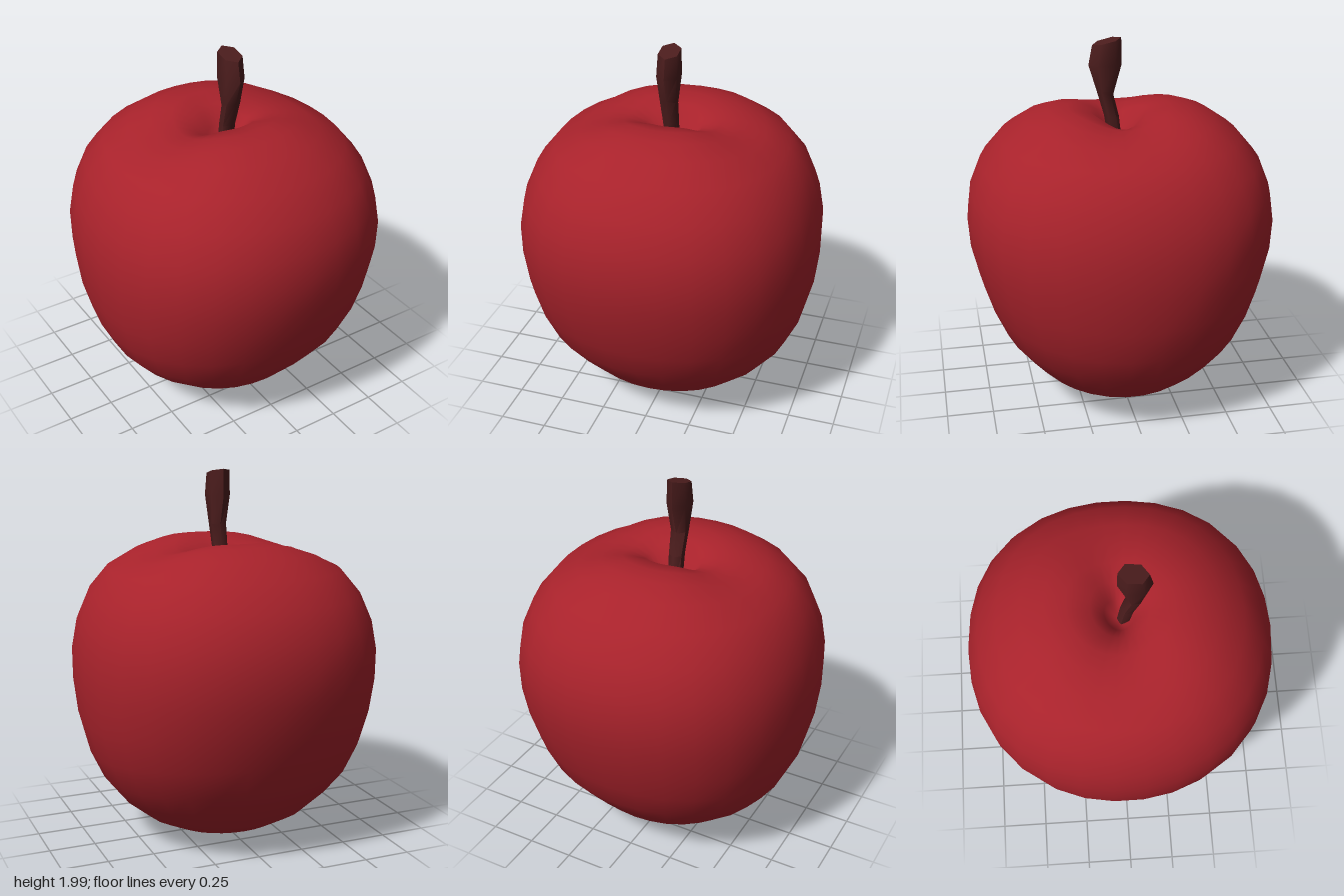
import * as THREE from 'three';
import { mergeVertices, toCreasedNormals } from 'three/addons/utils/BufferGeometryUtils.js';

// Skin closed rings (bottom to top); point(i, j) returns [x, y, z]
function loft(rows, sides, point) {
  const pos = [], index = [];
  for (let i = 0; i < rows; i++) {
    for (let j = 0; j < sides; j++) pos.push(...point(i, (j / sides) * Math.PI * 2));
  }
  for (let i = 0; i < rows - 1; i++) {
    for (let j = 0; j < sides; j++) {
      const k = (j + 1) % sides;
      const a = i * sides + j, b = i * sides + k;
      if (i > 0) index.push(a, b, b + sides);
      if (i < rows - 2) index.push(a, b + sides, a + sides);
      if (i === 0 && rows === 2) index.push(a, b, b + sides);
    }
  }
  const geo = new THREE.BufferGeometry();
  geo.setAttribute('position', new THREE.Float32BufferAttribute(pos, 3));
  geo.setIndex(index);
  const merged = mergeVertices(geo);
  merged.computeVertexNormals();
  return merged;
}

// Fruit outline: side half-width and its height, front half-depth and its height
const OUTLINE = [
  [0, 0.01, 0, 0.01], [0.15, 0.02, 0.15, 0.022], [0.29, 0.06, 0.31, 0.08],
  [0.44, 0.13, 0.45, 0.165], [0.57, 0.235, 0.55, 0.28], [0.67, 0.36, 0.65, 0.41],
  [0.74, 0.51, 0.72, 0.57], [0.785, 0.69, 0.77, 0.73], [0.805, 0.88, 0.81, 0.9],
  [0.805, 1.05, 0.82, 1.06], [0.775, 1.21, 0.8, 1.21], [0.71, 1.36, 0.74, 1.36],
  [0.61, 1.48, 0.63, 1.49], [0.48, 1.535, 0.5, 1.58], [0.36, 1.565, 0.38, 1.625],
  [0.25, 1.575, 0.27, 1.635], [0.15, 1.55, 0.15, 1.61], [0.08, 1.47, 0.08, 1.52],
  [0, 1.42, 0, 1.42],
];

function fruitPoint(i, t) {
  const [rx, yx, rz, yz] = OUTLINE[i];
  const s = Math.sin(t), c = Math.cos(t);
  const swell = 1 + 0.035 * Math.sin(2 * t) ** 2; // slightly squared section
  return [rx * s * swell, THREE.MathUtils.lerp(yz, yx, s ** 4), rz * c * swell];
}

// Stem rings: half-width, back z, back y, front z, front y
const STEM = [
  [0, 0.01, 1.4, 0.01, 1.4],
  [0.035, -0.02, 1.4, 0.05, 1.4],
  [0.037, 0, 1.58, 0.08, 1.59],
  [0.042, 0.03, 1.7, 0.12, 1.73],
  [0.054, -0.015, 1.86, 0.16, 1.86],
  [0.05, -0.012, 2.0, 0.14, 1.965],
  [0, 0.064, 1.982, 0.064, 1.982],
];

function stemPoint(i, t) {
  const [w, zb, yb, zf, yf] = STEM[i];
  const f = (1 + Math.cos(t)) / 2;
  return [w * Math.sin(t) / Math.sin(Math.PI / 3),
    THREE.MathUtils.lerp(yb, yf, f), THREE.MathUtils.lerp(zb, zf, f)];
}

export function createModel() {
  const model = new THREE.Group();
  model.name = 'apple';

  const fruit = new THREE.Mesh(
    loft(OUTLINE.length, 30, fruitPoint),
    new THREE.MeshStandardMaterial({ color: 0xa8222b }),
  );
  fruit.name = 'fruit';

  // Six-sided bent stem with a slanted cut end
  const stem = new THREE.Mesh(
    toCreasedNormals(loft(STEM.length, 6, stemPoint), 1.1),
    new THREE.MeshStandardMaterial({ color: 0x4c1d1d }),
  );
  stem.name = 'stem';

  model.add(fruit, stem);
  return model;
}
